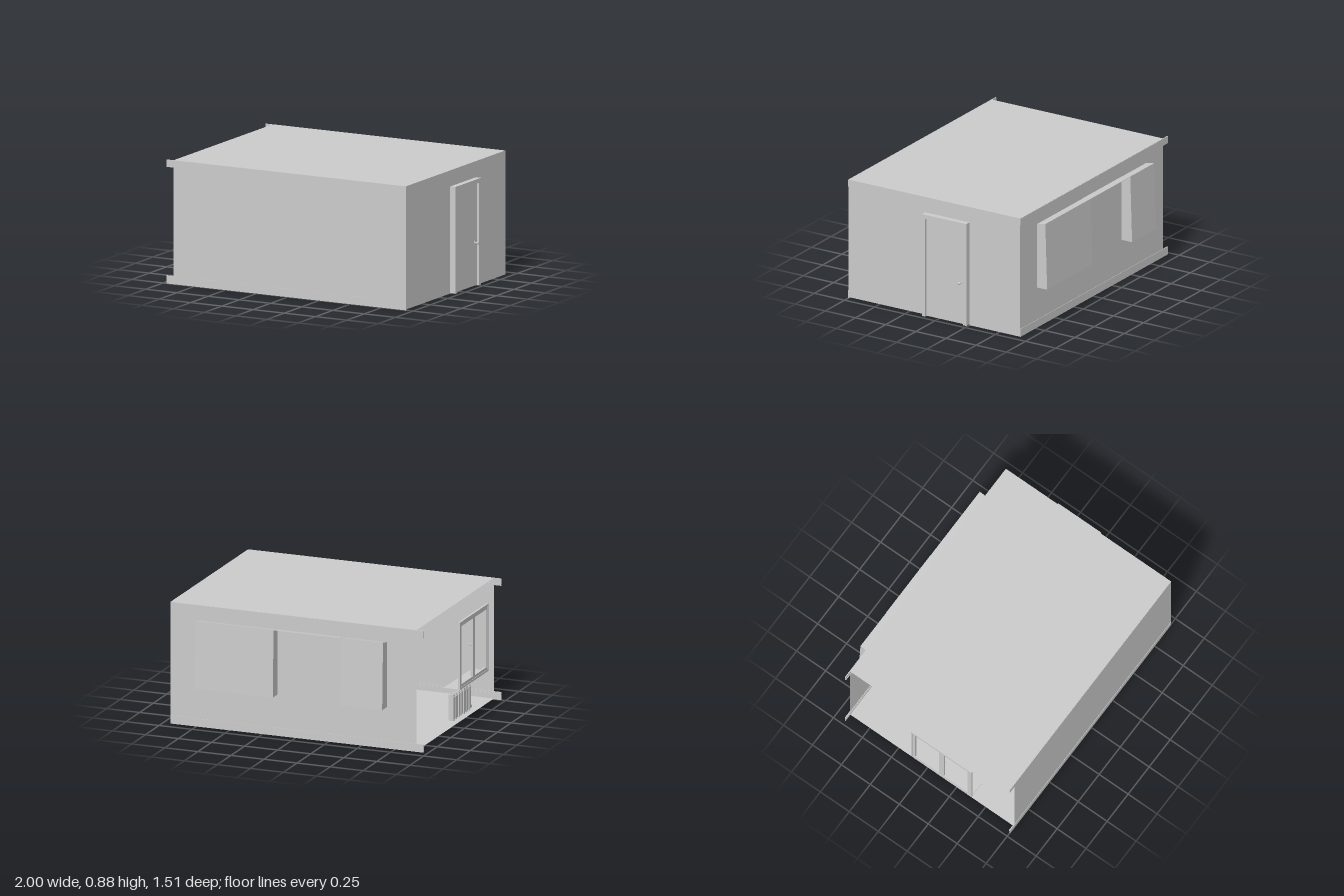
import * as THREE from 'three';

const grey = new THREE.MeshStandardMaterial({ color: 0xcccccc, side: THREE.DoubleSide, flatShading: true });
const smooth = new THREE.MeshStandardMaterial({ color: 0xcccccc });

// Box given by its min and max on each axis
function box(parent, name, x0, x1, y0, y1, z0, z1) {
  const mesh = new THREE.Mesh(new THREE.BoxGeometry(x1 - x0, y1 - y0, z1 - z0), grey);
  mesh.position.set((x0 + x1) / 2, (y0 + y1) / 2, (z0 + z1) / 2);
  mesh.name = name;
  parent.add(mesh);
  return mesh;
}

function group(parent, name) {
  const g = new THREE.Group();
  g.name = name;
  parent.add(g);
  return g;
}

// Rectangle in (z, y) with a rectangular hole, extruded along x
function frame(parent, name, x0, x1, y0, y1, z0, z1, w, wBottom = w) {
  const shape = new THREE.Shape([[z0, y0], [z1, y0], [z1, y1], [z0, y1]].map(p => new THREE.Vector2(-p[0], p[1])));
  shape.holes.push(new THREE.Path([[z0 + w, y0 + wBottom], [z0 + w, y1 - w], [z1 - w, y1 - w], [z1 - w, y0 + wBottom]]
    .map(p => new THREE.Vector2(-p[0], p[1]))));
  const mesh = new THREE.Mesh(new THREE.ExtrudeGeometry(shape, { depth: x1 - x0, bevelEnabled: false }), grey);
  mesh.rotation.y = Math.PI / 2;
  mesh.position.x = x0;
  mesh.name = name;
  parent.add(mesh);
}

// Cylinder between two points
function rod(parent, name, a, b, r) {
  const p = new THREE.Vector3(...a), q = new THREE.Vector3(...b);
  const mesh = new THREE.Mesh(new THREE.CylinderGeometry(r, r, p.distanceTo(q), 12), smooth);
  mesh.position.copy(p).lerp(q, 0.5);
  mesh.quaternion.setFromUnitVectors(new THREE.Vector3(0, 1, 0), q.sub(p).normalize());
  mesh.name = name;
  parent.add(mesh);
}

export function createModel() {
  const model = new THREE.Group();
  model.name = 'room';
  const X0 = -0.914, X1 = 0.946, Y0 = 0.006, Y1 = 0.885, Z0 = -0.671, Z1 = 0.751;

  // Thin shell: floor, ceiling and three walls, open on the window side
  const shell = box(model, 'roomShell', X0, X1, Y0, Y1, Z0, Z1);
  const index = Array.from(shell.geometry.index.array);
  shell.geometry.setIndex(index.filter((_, i) => i < 6 || i >= 12));
  shell.geometry.clearGroups();

  // Skirting and ceiling mouldings, running past the open end
  const trim = group(model, 'mouldings');
  for (const [name, y0, y1, lipY] of [['skirting', 0, 0.058, 0.045], ['cornice', 0.832, 0.884, 0.845]]) {
    box(trim, name + 'Back', -0.97, X1, y0, y1, Z0 - 0.003, Z0 + 0.004);
    box(trim, name + 'Front', -0.97, X1, y0, y1, Z1 - 0.004, Z1 + 0.003);
    box(trim, name + 'BackLip', -0.97, X1, lipY - 0.006, lipY, Z0, Z0 + 0.008);
    box(trim, name + 'FrontLip', -0.97, X1, lipY - 0.006, lipY, Z1 - 0.008, Z1);
    box(trim, name + 'Side', X1 - 0.007, X1 - 0.001, y0 + 0.007, y1, 0.12, Z1);
    box(trim, name + 'SideRear', X1 - 0.007, X1 - 0.001, y0, y1, Z0, -0.25);
  }

  // Door with architrave and round knob
  const door = group(model, 'door');
  box(door, 'doorPanel', X1, 0.97, 0.01, 0.74, -0.222, 0.09);
  box(door, 'doorPostRear', X1, 0.987, 0.008, 0.77, -0.251, -0.222);
  box(door, 'doorPostFront', X1, 0.987, 0.008, 0.77, 0.09, 0.118);
  box(door, 'doorLintel', X1, 0.987, 0.74, 0.77, -0.222, 0.09);
  rod(door, 'knobPlate', [0.969, 0.315, -0.193], [0.974, 0.315, -0.193], 0.014);
  rod(door, 'knobStem', [0.97, 0.315, -0.193], [0.99, 0.315, -0.193], 0.005);
  const knob = new THREE.Mesh(new THREE.SphereGeometry(0.011, 16, 12), smooth);
  knob.scale.x = 0.7;
  knob.position.set(0.991, 0.315, -0.193);
  knob.name = 'knob';
  door.add(knob);

  // Two hanging boxes on the back wall, flaring outward towards the bottom
  const bays = group(model, 'backBays');
  const profile = [[Z0, 0.3], [-0.757, 0.3], [-0.742, 0.788], [Z0, 0.773]];
  for (const [x0, x1] of [[-0.69, -0.375], [0.137, 0.73]]) {
    const shape = new THREE.Shape(profile.map(([z, y]) => new THREE.Vector2(-z, y)));
    const bay = new THREE.Mesh(new THREE.ExtrudeGeometry(shape, { depth: x1 - x0, bevelEnabled: false }), grey);
    bay.rotation.y = Math.PI / 2;
    bay.position.x = x0;
    bay.name = 'bay';
    bays.add(bay);
  }
  // Thin canopy joining the boxes
  const canopy = box(bays, 'canopy', -0.375, 0.137, 0.779, 0.782, -0.744, Z0);
  canopy.rotation.x = 0.2;

  // Free-standing two-sash window
  const win = group(model, 'window');
  frame(win, 'windowFrame', -1, -0.984, 0.3, 0.79, -0.08, 0.44, 0.014);
  for (const [z0, z1, zh] of [[-0.066, 0.179, 0.168], [0.181, 0.426, 0.192]]) {
    frame(win, 'sash', -0.997, -0.981, 0.314, 0.776, z0, z1, 0.02);
    rod(win, 'handleStem', [-0.983, 0.565, zh], [-0.971, 0.565, zh], 0.004);
    box(win, 'handleGrip', -0.975, -0.969, 0.55, 0.571, zh - 0.004, zh + 0.004);
  }
  box(win, 'windowSill', -0.995, -0.875, 0.296, 0.302, -0.08, 0.44);

  // Ribbed radiator under the sill
  const radiator = group(model, 'radiator');
  const ribs = 7;
  for (let i = 0; i < ribs; i++) {
    const z = 0.03 + i * 0.048;
    box(radiator, 'rib', -0.908, -0.868, 0.035, 0.225, z - 0.006, z + 0.006);
    box(radiator, 'ribFace', -0.912, -0.908, 0.05, 0.21, z - 0.016, z + 0.016);
  }
  for (const y of [0.055, 0.205]) rod(radiator, 'pipe', [-0.888, y, 0.02], [-0.888, y, 0.36], 0.009);
  rod(radiator, 'valve', [-0.905, 0.055, 0.355], [-0.87, 0.055, 0.355], 0.011);

  return model;
}
